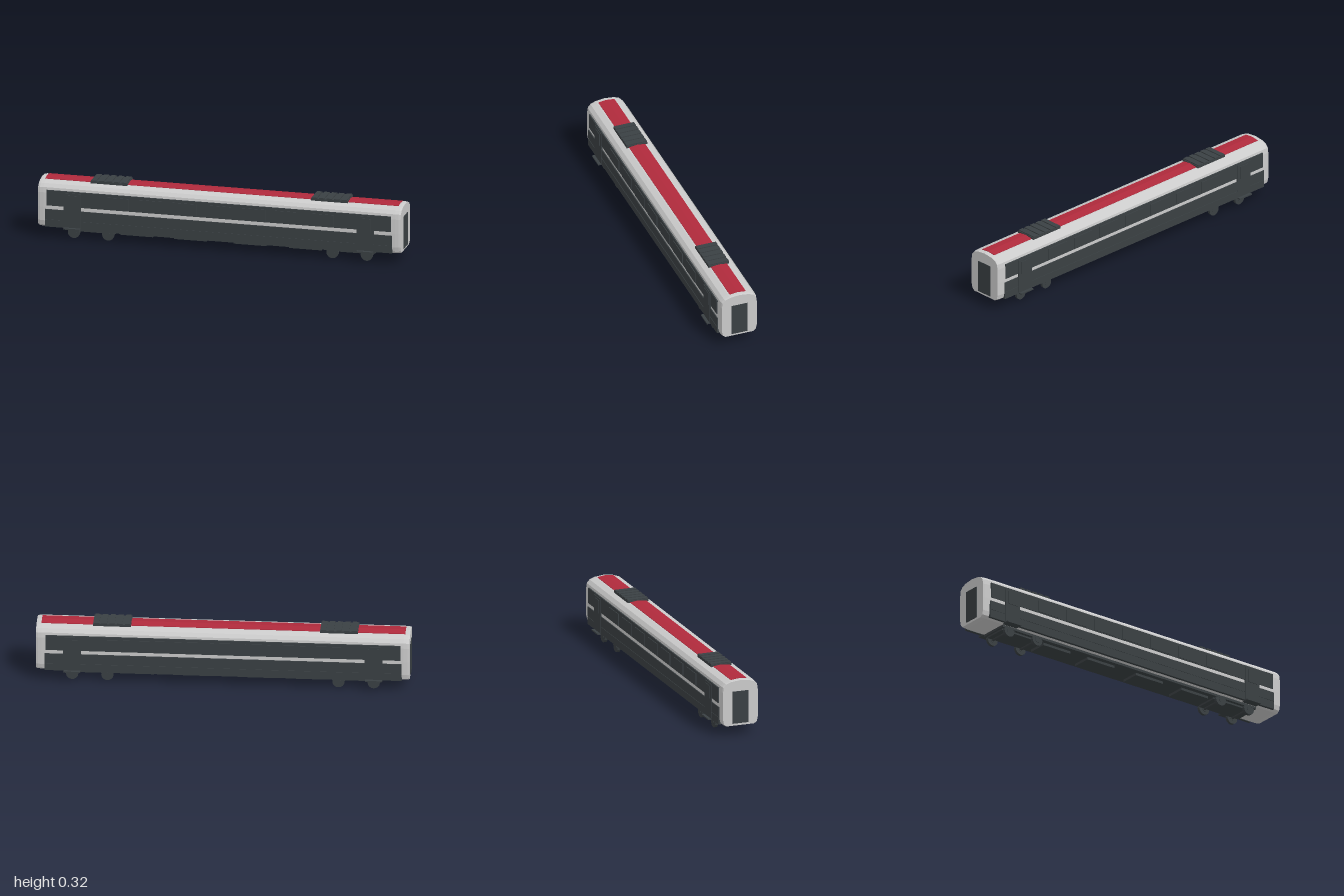
import * as THREE from 'three';

const grey = new THREE.MeshStandardMaterial({ color: 0xcccccc, flatShading: true });
const dark = new THREE.MeshStandardMaterial({ color: 0x3a4043, flatShading: true });
const red = new THREE.MeshStandardMaterial({ color: 0xb02a3c, flatShading: true });

// Half of the coach cross-section as [z, y], bottom to top
const HALF = [[0.082, 0.057], [0.098, 0.069], [0.104, 0.094], [0.105, 0.17], [0.104, 0.25],
  [0.1, 0.278], [0.084, 0.296], [0.054, 0.307], [0, 0.313]];
const PROFILE = [...HALF, ...HALF.slice(0, -1).reverse().map(([z, y]) => [-z, y])];

// Closed shell lofted along x through scaled copies of the cross-section
function bodyGeometry() {
  const stations = [[-0.996, 0.955], [-0.985, 0.985], [-0.965, 1], [0.965, 1], [0.985, 0.985], [0.996, 0.955]];
  const n = PROFILE.length, pos = [], idx = [];
  for (const [x, s] of stations)
    for (const [z, y] of PROFILE) pos.push(x, 0.185 + (y - 0.185) * (0.5 + s / 2), z * s);
  for (let i = 0; i < stations.length - 1; i++)
    for (let j = 0; j < n; j++) {
      const a = i * n + j, b = i * n + (j + 1) % n;
      idx.push(a, a + n, b, b, a + n, b + n);
    }
  const last = (stations.length - 1) * n;
  for (let j = 1; j < n - 1; j++) {
    idx.push(0, j, j + 1);
    idx.push(last, last + j + 1, last + j);
  }
  const g = new THREE.BufferGeometry();
  g.setAttribute('position', new THREE.Float32BufferAttribute(pos, 3));
  g.setIndex(idx);
  g.computeVertexNormals();
  return g;
}

export function createModel() {
  const model = new THREE.Group();
  model.name = 'railCoach';

  function add(parent, name, geo, mat, x = 0, y = 0, z = 0) {
    const m = new THREE.Mesh(geo, mat);
    m.name = name;
    m.position.set(x, y, z);
    parent.add(m);
    return m;
  }
  // Box given by its min and max on each axis
  function box(parent, name, mat, [x0, x1], [y0, y1], [z0, z1]) {
    return add(parent, name, new THREE.BoxGeometry(x1 - x0, y1 - y0, z1 - z0), mat,
      (x0 + x1) / 2, (y0 + y1) / 2, (z0 + z1) / 2);
  }

  add(model, 'body', bodyGeometry(), grey);

  // Roof stripe follows the shallow crown
  const crown = new THREE.Shape([[-0.046, 0.305], [0.046, 0.305], [0.046, 0.3102], [0, 0.3155], [-0.046, 0.3102]]
    .map(([z, y]) => new THREE.Vector2(z, y)));
  const stripe = new THREE.ExtrudeGeometry(crown, { depth: 1.94, bevelEnabled: false });
  stripe.rotateY(Math.PI / 2);
  add(model, 'roofStripe', stripe, red, -0.97);

  // Roof units with raised ribs
  for (const cx of [-0.617, 0.593]) {
    const unit = new THREE.Group();
    unit.name = 'roofUnit';
    unit.position.x = cx;
    model.add(unit);
    box(unit, 'roofUnitBase', dark, [-0.101, 0.101], [0.303, 0.318], [-0.058, 0.058]);
    for (let i = -2; i <= 2; i++)
      box(unit, 'roofUnitRib', dark, [i * 0.041 - 0.014, i * 0.041 + 0.014], [0.316, 0.323], [-0.058, 0.058]);
  }

  // Both sides carry the same panels, windows, doors and steps
  for (const s of [1, -1]) {
    const side = new THREE.Group();
    side.name = s > 0 ? 'frontSide' : 'backSide';
    model.add(side);
    const zr = (a, b) => (s > 0 ? [a, b] : [-b, -a]);
    box(side, 'windowBand', dark, [-0.948, 0.943], [0.18, 0.265], zr(0.095, 0.109));
    box(side, 'middleBand', dark, [-0.955, 0.95], [0.108, 0.159], zr(0.09, 0.11));
    box(side, 'lowerBand', dark, [-0.955, 0.95], [0.062, 0.102], zr(0.095, 0.11));
    box(side, 'bandGap', dark, [-0.955, 0.95], [0.1, 0.11], zr(0.095, 0.1075));
    for (let i = -3; i <= 3; i++) {
      const x = i * 0.188;
      box(side, 'window', dark, [x - 0.067, x + 0.067], [0.184, 0.25], zr(0.1, 0.113));
    }
    for (const x of [-0.805, 0.803]) {
      box(side, 'door', dark, [x - 0.047, x + 0.047], [0.066, 0.257], zr(0.095, 0.113));
      box(side, 'doorWindow', dark, [x - 0.03, x + 0.03], [0.172, 0.245], zr(0.1, 0.116));
      box(side, 'step', dark, [x - 0.045, x + 0.045], [0.058, 0.065], zr(0.08, 0.128));
    }
  }

  // Gangway doors at both ends
  for (const s of [1, -1])
    box(model, 'endDoor', dark, s > 0 ? [0.985, 1] : [-1, -0.985], [0.072, 0.25], [-0.045, 0.045]);

  // Underframe and equipment boxes
  box(model, 'underframe', dark, [-0.85, 0.85], [0.044, 0.06], [-0.082, 0.082]);
  for (const x of [-0.465, -0.17, 0.155, 0.46])
    box(model, 'equipmentBox', dark, [x - 0.09, x + 0.09], [0.03, 0.046], [-0.055, 0.055]);

  // Bogies with two wheelsets each
  const wheelGeo = new THREE.CylinderGeometry(0.033, 0.033, 0.016, 16).rotateX(Math.PI / 2);
  const hubGeo = new THREE.CylinderGeometry(0.014, 0.014, 0.02, 12).rotateX(Math.PI / 2);
  const axleGeo = new THREE.CylinderGeometry(0.008, 0.008, 0.14, 10).rotateX(Math.PI / 2);
  for (const s of [1, -1]) {
    const bogie = new THREE.Group();
    bogie.name = s > 0 ? 'leftBogie' : 'rightBogie';
    bogie.position.x = s * 0.71;
    model.add(bogie);
    box(bogie, 'bogieFrame', dark, [-0.13, 0.13], [0.034, 0.05], [-0.064, 0.064]);
    for (const x of [-0.094, 0.094]) {
      add(bogie, 'axle', axleGeo, dark, x, 0.033, 0);
      for (const z of [-0.073, 0.073]) {
        add(bogie, 'wheel', wheelGeo, dark, x, 0.033, z);
        add(bogie, 'wheelHub', hubGeo, dark, x, 0.033, z);
      }
    }
  }
  return model;
}
